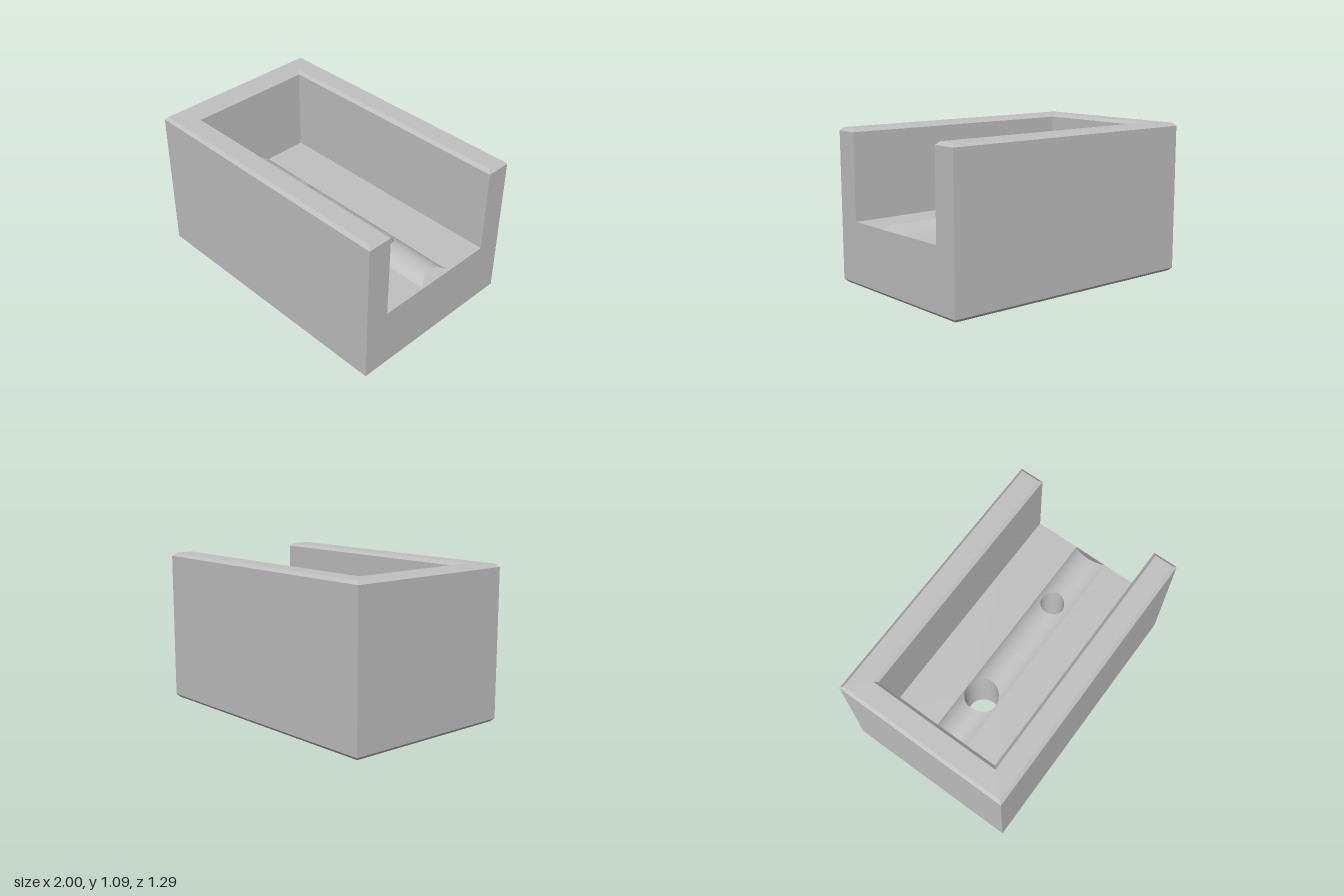
import * as THREE from 'three';
import { toCreasedNormals } from 'three/addons/utils/BufferGeometryUtils.js';

const W = 0.645, IN = 0.465, BACK = -0.82;      // outer and inner half widths, inner end wall
const FLOOR = 0.455, TOP = 1.09, CH = 0.022;    // floor height, total height, chamfer
const RIDGE_W = 0.128, RIDGE_H = 0.055;
const HOLES = [{ x: -0.365, r: 0.122 }, { x: 0.5, r: 0.087 }];

// Height of the rounded ridge above the floor at a given z
const R = (RIDGE_W ** 2 + RIDGE_H ** 2) / (2 * RIDGE_H);
const ridge = (z) => Math.max(0, Math.sqrt(R * R - z * z) - R + RIDGE_H);

function polygon(points) {
  return new THREE.Shape(points.map(([x, z]) => new THREE.Vector2(x, z)));
}

// Upright prism in two layers, whose vertices are then moved by a rule
function prism(shape, y0, y1, rule) {
  const g = new THREE.ExtrudeGeometry(shape, { depth: y1 - y0, steps: 2, bevelEnabled: false, curveSegments: 48 });
  g.rotateX(-Math.PI / 2).translate(0, y0, 0);
  const p = g.attributes.position, v = new THREE.Vector3();
  for (let i = 0; i < p.count; i++) {
    rule(v.fromBufferAttribute(p, i), (y0 + y1) / 2);
    p.setXYZ(i, v.x, v.y, v.z);
  }
  return toCreasedNormals(g, 0.5);
}

// Smooth grid surface from a function of u and v
function patch(fn, nu, nv) {
  const pos = [], idx = [];
  for (let j = 0; j <= nv; j++)
    for (let i = 0; i <= nu; i++) pos.push(...fn(i / nu, j / nv));
  for (let j = 0; j < nv; j++)
    for (let i = 0; i < nu; i++) {
      const a = j * (nu + 1) + i, b = a + nu + 1;
      idx.push(a, b, b + 1, a, b + 1, a + 1);
    }
  const g = new THREE.BufferGeometry();
  g.setAttribute('position', new THREE.Float32BufferAttribute(pos, 3));
  g.setIndex(idx);
  g.computeVertexNormals();
  return g;
}

export function createModel() {
  const group = new THREE.Group();
  const grey = new THREE.MeshStandardMaterial({ color: 0xc0c0c0 });
  grey.name = 'grey';
  const add = (name, geometry) => {
    const mesh = new THREE.Mesh(geometry, grey);
    mesh.name = name;
    group.add(mesh);
  };

  // Base slab with two through holes and a chamfered lower edge
  const slab = polygon([[-1, -W], [1, -W], [1, W], [-1, W]]);
  for (const h of HOLES) slab.holes.push(new THREE.Path().absarc(h.x, 0, h.r, 0, Math.PI * 2, true));
  add('base', prism(slab, 0, FLOOR, (v, mid) => {
    if (v.y < 0.01 && Math.abs(v.x) > 0.99) {
      v.x -= CH * Math.sign(v.x);
      v.z -= CH * Math.sign(v.z);
    } else if (Math.abs(v.y - mid) < 0.01) v.y = CH;
  }));

  // U-shaped walls, chamfered on every upper edge
  const walls = polygon([[-1, -W], [1, -W], [1, -IN], [BACK, -IN], [BACK, IN], [1, IN], [1, W], [-1, W]]);
  add('walls', prism(walls, FLOOR, TOP, (v, mid) => {
    if (v.y > TOP - 0.01) {
      v.x += v.x < -0.9 ? CH : -CH;
      v.z += CH * Math.sign(v.z) * (Math.abs(v.z) > 0.6 ? -1 : 1);
    } else if (Math.abs(v.y - mid) < 0.01) v.y = TOP - CH;
  }));

  // Rounded ridge in three lengths, each ending at the rim of a hole
  const zAt = (v) => -RIDGE_W * Math.cos(Math.PI * v);
  const rim = (h, z, side) => h.x + side * Math.sqrt(Math.max(0, h.r ** 2 - z * z));
  const [big, small] = HOLES;
  const lengths = [
    [() => BACK, (z) => rim(big, z, -1)],
    [(z) => rim(big, z, 1), (z) => rim(small, z, -1)],
    [(z) => rim(small, z, 1), (z) => 1 - ridge(z)],
  ];
  for (const [from, to] of lengths) {
    const g = patch((u, v) => {
      const z = zAt(v);
      return [THREE.MathUtils.lerp(from(z), to(z), u), FLOOR + ridge(z), z];
    }, 4, 64);
    // Exact normals of the round surface
    const p = g.attributes.position;
    for (let i = 0; i < p.count; i++) {
      const z = p.getZ(i);
      g.attributes.normal.setXYZ(i, 0, Math.sqrt(R * R - z * z) / R, z / R);
    }
    add('ridge', g);
  }

  // Sloping cut at the open end of the ridge
  add('ridgeEnd', patch((u, v) => {
    const z = zAt(v), h = ridge(z) * (1 - u);
    return [1 - h, FLOOR + h, z];
  }, 1, 64));

  // Hole walls continued up through the ridge
  for (const h of HOLES)
    add('holeWall', patch((u, v) => {
      const a = v * Math.PI * 2, z = h.r * Math.sin(a);
      return [h.x + h.r * Math.cos(a), FLOOR + u * ridge(z), z];
    }, 1, 96));

  return group;
}
